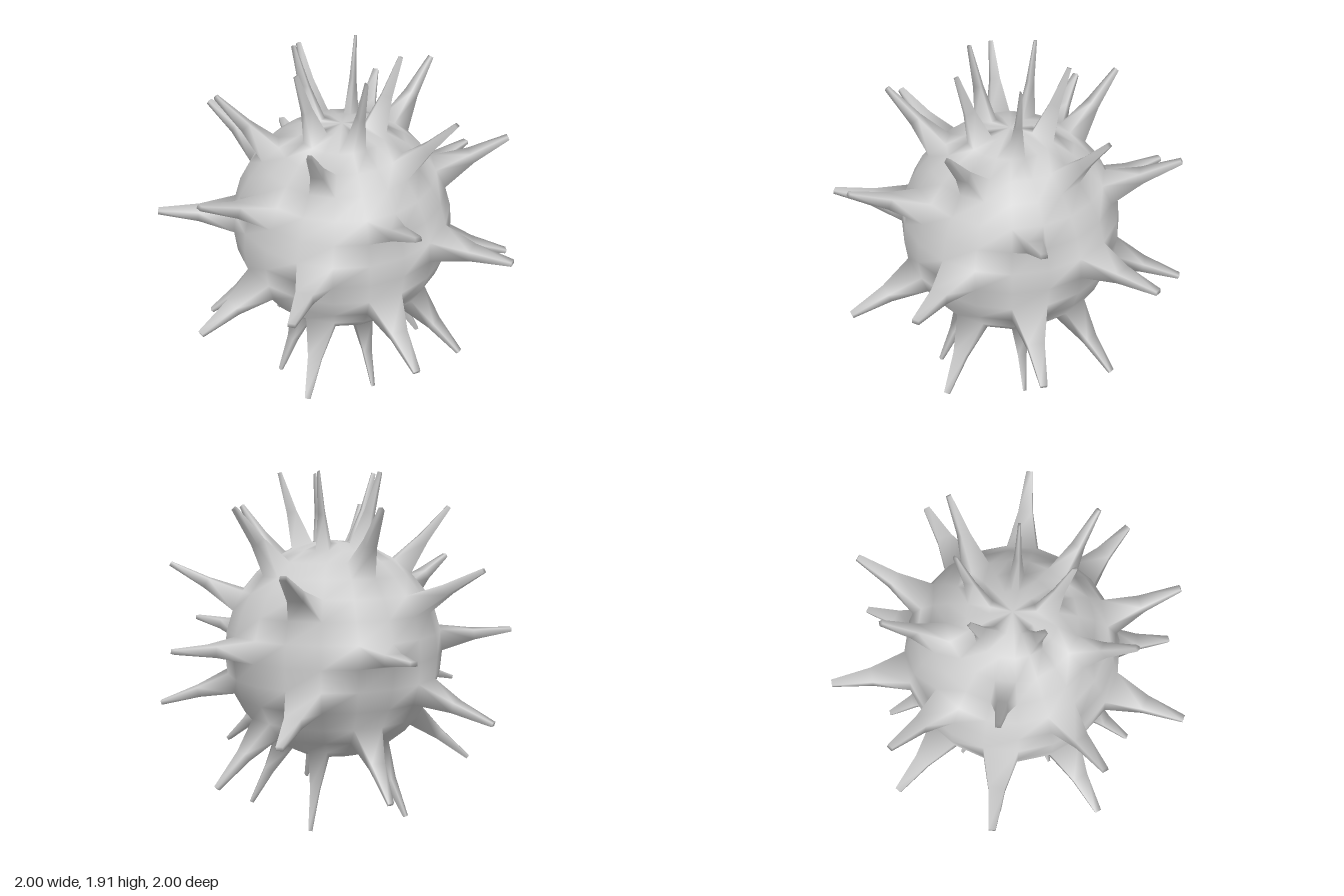
import * as THREE from 'three';

const SEGMENTS = 20, BANDS = 16;
const BODY_RADIUS = 0.62;
// Spike cross-sections: distance from the ball's centre, scale of the base face
const SECTIONS = [[0.81, 0.47], [1.034, 0.19]];

export function createModel() {
  const points = [], index = [];
  const add = (p) => points.push(p) - 1;
  const quad = (a, b, c, d) => index.push(a, b, c, a, c, d);

  // Ball grid: one shared vertex per pole, one ring per latitude
  const north = add(new THREE.Vector3(0, BODY_RADIUS, 0));
  const south = add(new THREE.Vector3(0, -BODY_RADIUS, 0));
  const grid = [];
  for (let i = 1; i < BANDS; i++) {
    const theta = (i / BANDS) * Math.PI;
    grid[i] = [];
    for (let j = 0; j < SEGMENTS; j++) {
      const phi = (j / SEGMENTS) * Math.PI * 2;
      grid[i].push(add(new THREE.Vector3(
        Math.sin(theta) * Math.cos(phi), Math.cos(theta), Math.sin(theta) * Math.sin(phi),
      ).multiplyScalar(BODY_RADIUS)));
    }
  }

  // A tapering four-sided spike drawn out of one face of the ball
  function spike(corners) {
    const base = corners.map((k) => points[k]);
    const centre = new THREE.Vector3();
    base.forEach((p) => centre.addScaledVector(p, 0.25));
    const axis = centre.clone().normalize();
    let previous = corners;
    for (const [distance, scale] of SECTIONS) {
      const ring = base.map((p) => add(
        p.clone().sub(centre).multiplyScalar(scale).addScaledVector(axis, distance)));
      for (let k = 0; k < 4; k++) {
        const n = (k + 1) % 4;
        quad(previous[k], previous[n], ring[n], ring[k]);
      }
      previous = ring;
    }
    quad(...previous);
  }

  // Fill the faces; every second band carries five spikes, staggered
  for (let j = 0; j < SEGMENTS; j++) {
    const n = (j + 1) % SEGMENTS;
    index.push(north, grid[1][n], grid[1][j]);
    index.push(south, grid[BANDS - 1][j], grid[BANDS - 1][n]);
    for (let i = 1; i < BANDS - 1; i++) {
      const corners = [grid[i][j], grid[i][n], grid[i + 1][n], grid[i + 1][j]];
      const offset = i % 4 === 1 ? 0 : 2;
      if (i % 2 === 1 && j % 4 === offset) spike(corners);
      else quad(...corners);
    }
  }

  const geometry = new THREE.BufferGeometry().setFromPoints(points);
  geometry.setIndex(index);

  // Pole caps face outward like the rest of the surface
  for (let t = 0; t < index.length; t += 3) {
    const [a, b, c] = [0, 1, 2].map((k) => points[index[t + k]]);
    const normal = b.clone().sub(a).cross(c.clone().sub(a));
    const isCap = index[t] === north || index[t] === south;
    if (isCap && normal.dot(a) < 0) {
      geometry.index.setX(t + 1, index[t + 2]);
      geometry.index.setX(t + 2, index[t + 1]);
    }
  }
  geometry.computeVertexNormals();

  const body = new THREE.Mesh(geometry, new THREE.MeshStandardMaterial({ color: 0xcccccc }));
  body.name = 'spikedBall';
  body.position.set(0.016, 0.919, 0.016);

  const model = new THREE.Group();
  model.name = 'spikyBall';
  model.add(body);
  return model;
}
